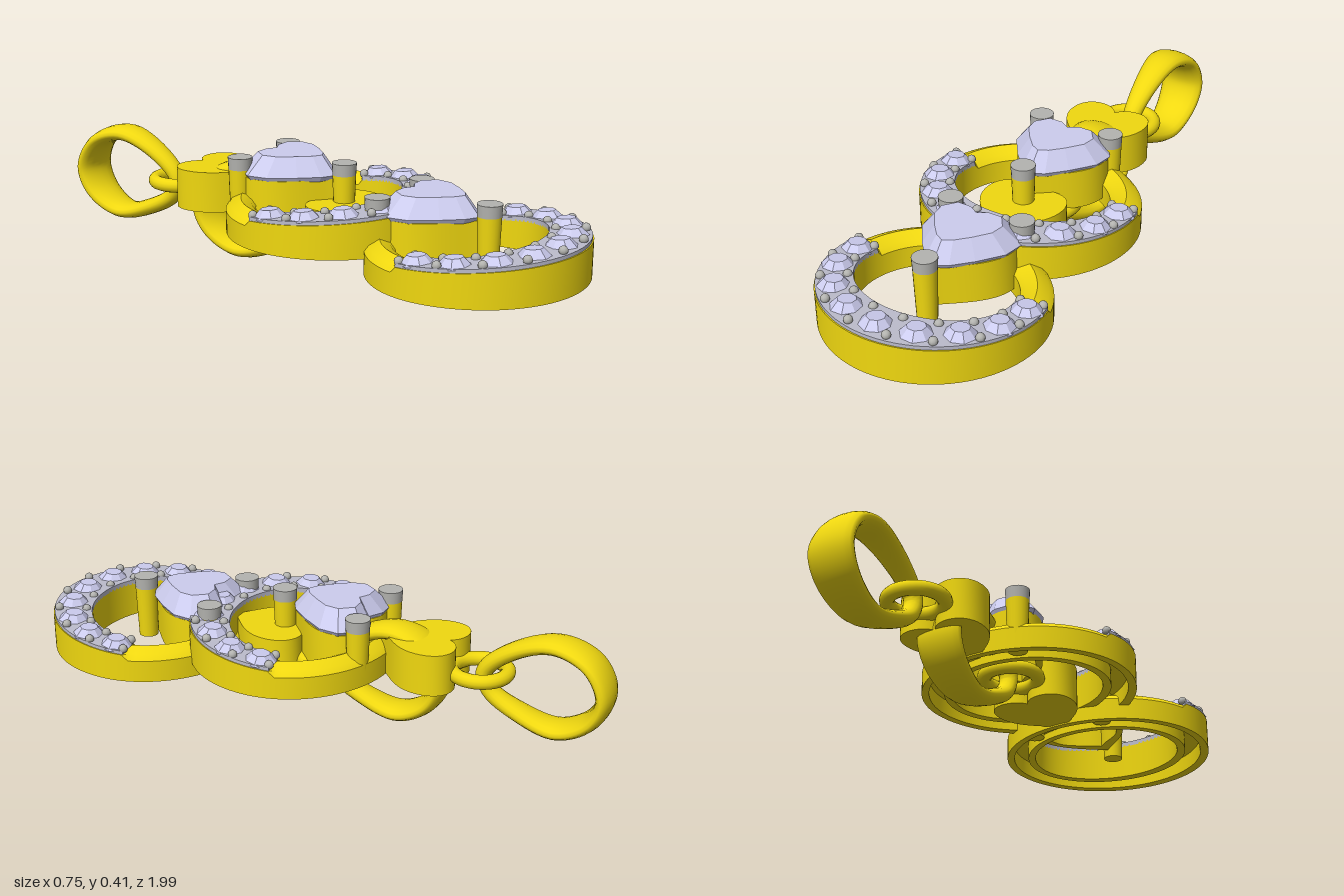
import * as THREE from 'three';
import { toCreasedNormals } from 'three/addons/utils/BufferGeometryUtils.js';

const gold = new THREE.MeshStandardMaterial({ color: 0xf0d810 });
const gem = new THREE.MeshStandardMaterial({ color: 0xccccee, flatShading: true });
const deckGrey = new THREE.MeshStandardMaterial({ color: 0xbcbccc });
const silver = new THREE.MeshStandardMaterial({ color: 0xb4b4b0 });
const V = (x, y, z) => new THREE.Vector3(x, y, z);

function add(parent, name, geometry, material, x = 0, y = 0, z = 0) {
  const mesh = new THREE.Mesh(geometry, material);
  mesh.name = name;
  mesh.position.set(x, y, z);
  parent.add(mesh);
  return mesh;
}

// Skin a list of closed cross-sections; either loop the path or cap its ends.
function loft(sections, loop, crease = 0.6) {
  const n = sections[0].length, m = sections.length;
  const pts = sections.flat(), index = [];
  for (let i = 0; i < (loop ? m : m - 1); i++) {
    for (let j = 0; j < n; j++) {
      const k = (j + 1) % n, r = ((i + 1) % m) * n;
      const a = i * n + j, b = i * n + k, c = r + k, d = r + j;
      index.push(a, b, c, a, c, d);
    }
  }
  if (!loop) {
    for (const e of [0, m - 1]) {
      const mid = V(0, 0, 0);
      sections[e].forEach((p) => mid.addScaledVector(p, 1 / n));
      const c = pts.push(mid) - 1;
      for (let j = 0; j < n; j++) {
        const a = e * n + j, b = e * n + (j + 1) % n;
        index.push(...(e ? [a, b, c] : [b, a, c]));
      }
    }
  }
  // Turn the faces outward if the enclosed volume is negative.
  let volume = 0;
  for (let i = 0; i < index.length; i += 3) {
    volume += pts[index[i]].dot(V(0, 0, 0).crossVectors(pts[index[i + 1]], pts[index[i + 2]]));
  }
  if (volume < 0) index.reverse();
  const g = new THREE.BufferGeometry().setFromPoints(pts);
  g.setIndex(index);
  return toCreasedNormals(g, crease);
}

// Heart outline with lobes toward -z and tip toward +z.
function heartPath(Type, w, notch, top, mid, tip) {
  const s = new Type();
  s.moveTo(0, notch);
  s.bezierCurveTo(w * 0.2, top, w, top, w, mid);
  s.bezierCurveTo(w, mid + 0.1, w * 0.35, tip - 0.05, 0, tip);
  s.bezierCurveTo(-w * 0.35, tip - 0.05, -w, mid + 0.1, -w, mid);
  s.bezierCurveTo(-w, top, -w * 0.2, top, 0, notch);
  return s;
}

function extrudeDown(shape, yTop, height) {
  const g = new THREE.ExtrudeGeometry(shape, { depth: height, bevelEnabled: false, curveSegments: 14 });
  g.rotateX(Math.PI / 2).translate(0, yTop, 0);
  return toCreasedNormals(g, 0.6);
}

// Point on the ring: angle 0 is the front, t runs from inner (0) to outer (1) edge.
const CZ = 0.09, SPLIT = 1.78;
function ringPoint(angle, t, y) {
  const rx = 0.265 + 0.105 * t;
  const rz = Math.cos(angle) > 0 ? 0.22 + 0.145 * t : 0.24 + 0.095 * t;
  return V(rx * Math.sin(angle), y, CZ + rz * Math.cos(angle));
}
const paveTop = (z) => 0.27 + 0.085 * (z - 0.03);

function buildRing(parent) {
  // Channel-shaped band: flat where stones sit, rounded on the plain half.
  const sections = [];
  const N = 96;
  for (let i = 0; i < N; i++) {
    const a = -Math.PI + (i / N) * Math.PI * 2;
    const plain = Math.abs(a) > SPLIT;
    const flat = paveTop(ringPoint(a, 0.5, 0).z);
    const crown = [1, 0.85, 0.5, 0.15, 0].map((t) =>
      [t, plain ? 0.285 - 0.14 * (t - 0.5) ** 2 : flat]);
    const profile = [[1, 0.175], ...crown, [0, 0.175], [0.25, 0.175], [0.25, 0.23], [0.75, 0.23], [0.75, 0.175]];
    sections.push(profile.map(([t, y]) => ringPoint(a, t, y)));
  }
  add(parent, 'ringBand', loft(sections, true), gold);

  // Pale setting plate on the front half
  const plate = [];
  for (let i = 0; i <= 48; i++) {
    const a = (i / 24 - 1) * SPLIT;
    const y = paveTop(ringPoint(a, 0.5, 0).z);
    plate.push([[0, -0.005], [0, 0.012], [0.97, 0.012], [0.97, -0.005]].map(([t, h]) => ringPoint(a, t, y + h)));
  }
  add(parent, 'settingPlate', loft(plate, false), deckGrey);

  // Small faceted stones and the beads that hold them
  const crown = new THREE.CylinderGeometry(0.03, 0.056, 0.028, 8);
  const bead = new THREE.SphereGeometry(0.015, 10, 8);
  const step = 0.41;
  for (let i = -4; i <= 4; i++) {
    const p = ringPoint(i * step, 0.5, 0);
    const stone = add(parent, 'smallStone', crown, gem, p.x, paveTop(p.z) + 0.02, p.z);
    stone.rotation.set(-0.085, i * step, 0);
  }
  for (let i = -4; i <= 5; i++) {
    for (const t of [0.14, 0.84]) {
      const p = ringPoint((i - 0.5) * step * 0.96, t, 0);
      add(parent, 'bead', bead, silver, p.x, paveTop(p.z) + 0.016, p.z);
    }
  }
}

function buildHeartStone(parent) {
  // Faceted heart gem, stacked from scaled copies of one outline
  const half = [[0.05, -0.195], [0.12, -0.195], [0.168, -0.13], [0.158, -0.06], [0.1, 0.02], [0.045, 0.08]];
  const outline = [[0, -0.165], ...half, [0, 0.105], ...half.map(([x, z]) => [-x, z]).reverse()];
  const layers = [[0.03, 0.24], [0.94, 0.335], [1, 0.35], [0.68, 0.412]];
  const sections = layers.map(([s, y]) => outline.map(([x, z]) => V(x * s, y, -0.06 + (z + 0.06) * s)));
  add(parent, 'heartStone', loft(sections, false, 0.01), gem);

  // Hollow basket under the gem
  const wall = heartPath(THREE.Shape, 0.158, -0.155, -0.21, -0.11, 0.1);
  wall.holes.push(heartPath(THREE.Path, 0.128, -0.12, -0.175, -0.1, 0.055));
  add(parent, 'basket', extrudeDown(wall, 0.338, 0.138), gold);

  // Three prongs with pale tips
  for (const [x, z] of [[0, 0.14], [-0.135, -0.185], [0.135, -0.185]]) {
    add(parent, 'prong', new THREE.CylinderGeometry(0.039, 0.033, 0.18, 20), gold, x, 0.27, z);
    add(parent, 'prongTip', new THREE.CylinderGeometry(0.041, 0.039, 0.04, 20), silver, x, 0.38, z);
  }
}

function buildHanger(parent) {
  // Solid heart link
  const heart = heartPath(THREE.Shape, 0.145, -0.45, -0.51, -0.405, -0.21);
  add(parent, 'heartLink', extrudeDown(heart, 0.32, 0.14), gold);

  // Jump ring lying flat
  const torus = new THREE.TorusGeometry(0.09, 0.024, 14, 40).rotateX(Math.PI / 2);
  add(parent, 'jumpRing', torus, gold, 0, 0.235, -0.555);

  // Teardrop bail, broad at the back and narrow at the jump ring
  const path = [[-0.57, 0.235], [-0.65, 0.315], [-0.8, 0.372], [-0.92, 0.33], [-0.97, 0.23],
    [-0.93, 0.14], [-0.82, 0.083], [-0.68, 0.12], [-0.59, 0.175]];
  const curve = new THREE.CatmullRomCurve3(path.map(([z, y]) => V(0, y, z)), true);
  const sections = [];
  for (let i = 0; i < 64; i++) {
    const p = curve.getPoint(i / 64), tan = curve.getTangent(i / 64);
    const side = V(0, tan.z, -tan.y);
    const w = THREE.MathUtils.mapLinear(p.z, -0.57, -0.97, 0.032, 0.084);
    sections.push(Array.from({ length: 16 }, (_, j) => {
      const a = (j / 16) * Math.PI * 2;
      return p.clone().addScaledVector(side, 0.028 * Math.sin(a)).add(V(w * Math.cos(a), 0, 0));
    }));
  }
  add(parent, 'bail', loft(sections, true, 1.2), gold);
}

export function createModel() {
  const model = new THREE.Group();
  model.name = 'pendant';
  // Two identical links, the front one slightly lower
  for (let i = 0; i < 2; i++) {
    const link = new THREE.Group();
    link.name = i ? 'frontLink' : 'backLink';
    link.position.set(0, -0.05 * i, 0.54 * i);
    buildRing(link);
    buildHeartStone(link);
    buildHanger(link);
    model.add(link);
  }
  return model;
}
